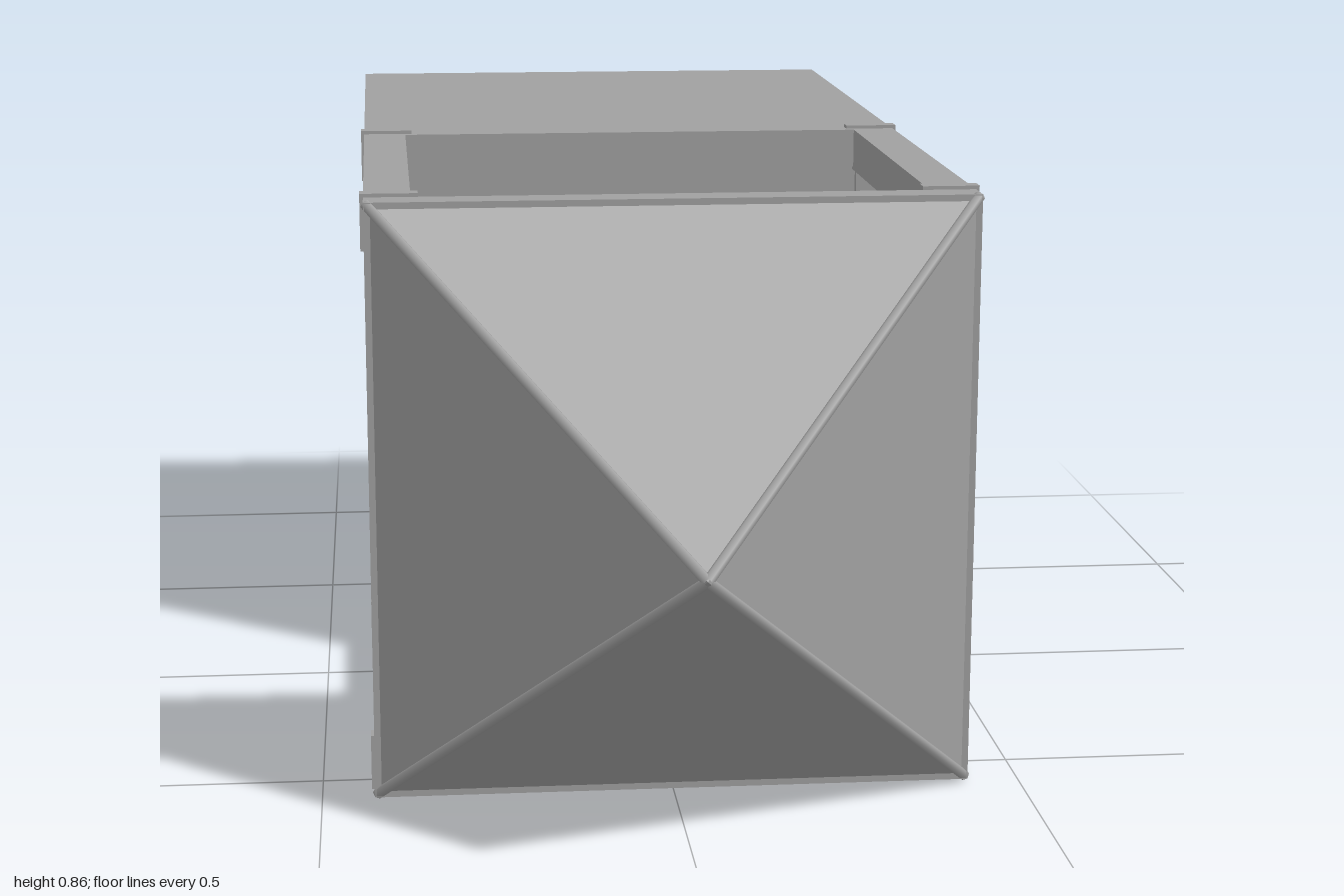
import * as THREE from 'three';

export function createModel() {
  const root = new THREE.Group();
  root.name = 'lantern';
  const model = new THREE.Group();
  model.name = 'lanternBody';
  model.position.y = 0.43; // the body is laid out around its long z axis
  root.add(model);

  const grey = new THREE.MeshStandardMaterial({ color: 0xa0a0a0 });
  grey.name = 'grey';

  const add = (name, geo, x = 0, y = 0, z = 0, parent = model) => {
    const mesh = new THREE.Mesh(geo, grey);
    mesh.name = name;
    mesh.position.set(x, y, z);
    parent.add(mesh);
    return mesh;
  };
  const box = (name, w, h, z0, z1, x = 0, y = 0) =>
    add(name, new THREE.BoxGeometry(w, h, z1 - z0), x, y, (z0 + z1) / 2);

  const H = 0.425; // half width of the body

  // long solid base and the raised rim around its front face
  box('base', 2 * H, 2 * H, -1, -0.125);
  const square = (s) => [[-s, -s], [s, -s], [s, s], [-s, s]].map(([x, y]) => new THREE.Vector2(x, y));
  const rimShape = new THREE.Shape(square(H));
  rimShape.holes.push(new THREE.Path(square(H - 0.06)));
  add('baseRim', new THREE.ExtrudeGeometry(rimShape, { depth: 0.015, bevelEnabled: false }), 0, 0, -0.125);

  // cap plate and pyramid
  box('capPlate', 2 * H, 2 * H, 0.54, 0.582);
  const pyramid = new THREE.ConeGeometry((H - 0.003) * Math.SQRT2, 0.412, 4, 1).toNonIndexed();
  pyramid.rotateY(Math.PI / 4).rotateX(Math.PI / 2);
  pyramid.computeVertexNormals();
  add('pyramid', pyramid, 0, 0, 0.582 + 0.206);

  // concave corner brace, drawn in the plane across post and plate
  const R = 0.1;
  const braceShape = new THREE.Shape();
  braceShape.moveTo(0, 0);
  braceShape.lineTo(R, 0);
  braceShape.absarc(R, R, R, -Math.PI / 2, -Math.PI, true);
  braceShape.lineTo(0, 0);
  const braceGeo = new THREE.ExtrudeGeometry(braceShape, { depth: 0.04, bevelEnabled: false, curveSegments: 10 });
  braceGeo.translate(0, 0, -0.02);

  // four corners: post, collars, braces and pyramid ridge
  for (const sx of [-1, 1]) {
    for (const sy of [-1, 1]) {
      box('post', 0.065, 0.065, -0.125, 0.54, sx * (H - 0.0325), sy * (H - 0.0325));
      for (const z of [-0.148, 0.515]) {
        box('collar', 0.08, 0.08, z, z + 0.025, sx * 0.39, sy * 0.39);
      }

      const ridge = new THREE.LineCurve3(
        new THREE.Vector3(sx * (H - 0.003), sy * (H - 0.003), 0.58),
        new THREE.Vector3(0, 0, 0.992));
      add('ridge', new THREE.TubeGeometry(ridge, 1, 0.008, 6), 0, 0, 0);

      const inner = H - 0.066;
      const middle = H - 0.034;
      const across = add('braceAcross', braceGeo, sx * inner, sy * middle, 0.54);
      across.setRotationFromMatrix(new THREE.Matrix4().makeBasis(
        ...(sx > 0
          ? [new THREE.Vector3(-1, 0, 0), new THREE.Vector3(0, 0, -1), new THREE.Vector3(0, -1, 0).negate().negate()]
          : [new THREE.Vector3(0, 0, -1), new THREE.Vector3(1, 0, 0), new THREE.Vector3(0, -1, 0)])));
      const upright = add('braceUpright', braceGeo, sx * middle, sy * inner, 0.54);
      upright.setRotationFromMatrix(new THREE.Matrix4().makeBasis(
        ...(sy > 0
          ? [new THREE.Vector3(0, -1, 0), new THREE.Vector3(0, 0, -1), new THREE.Vector3(1, 0, 0)]
          : [new THREE.Vector3(0, 0, -1), new THREE.Vector3(0, 1, 0), new THREE.Vector3(1, 0, 0)])));
    }
  }

  // thin lips along the pyramid's lower edges
  for (const s of [-1, 1]) {
    box('capLip', 2 * H, 0.014, 0.578, 0.588, 0, s * (H - 0.007));
    box('capLip', 0.014, 2 * H, 0.578, 0.588, s * (H - 0.007), 0);
  }

  // round rods with tapered ends: two long, two short
  const rod = (name, x, y, z0, z1) => {
    const r = 0.037;
    const group = new THREE.Group();
    group.name = name;
    group.position.set(x, y, 0);
    model.add(group);
    const section = (part, a, b, ra, rb) => {
      const geo = new THREE.CylinderGeometry(rb, ra, b - a, 24);
      geo.rotateX(Math.PI / 2);
      add(part, geo, 0, 0, (a + b) / 2, group);
    };
    section('rodFoot', z0, z0 + 0.025, 0.03, r);
    section('rodShaft', z0 + 0.025, z1 - 0.04, r, r);
    section('rodTip', z1 - 0.04, z1, r, 0.028);
  };
  rod('longRod', -0.072, 0.075, -0.125, 0.54);
  rod('longRod', 0.065, -0.065, -0.125, 0.54);
  rod('shortRod', 0.065, 0.075, -0.125, -0.05);
  rod('shortRod', -0.072, -0.065, -0.125, -0.05);

  return root;
}
